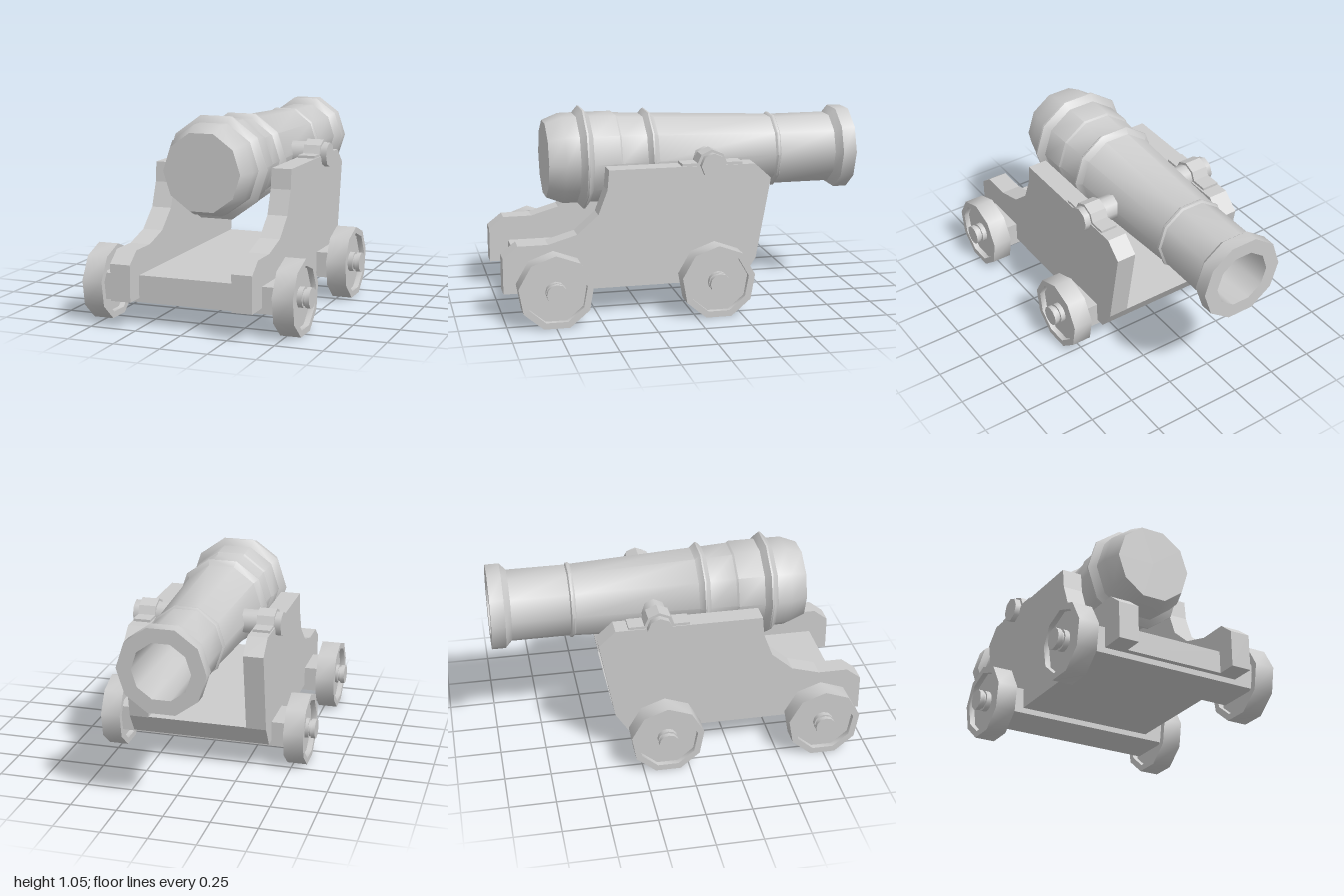
import * as THREE from 'three';
import { toCreasedNormals } from 'three/addons/utils/BufferGeometryUtils.js';

const material = new THREE.MeshStandardMaterial({ color: 0xcccccc });

// Revolved profile of [radius, position] pairs, smooth around and sharp at the rings
function revolve(profile, sides, phiStart, crease = 0.75) {
  const points = profile.map(([r, p]) => new THREE.Vector2(r, p));
  return toCreasedNormals(new THREE.LatheGeometry(points, sides, phiStart), crease);
}

// Side outline of [z, y] pairs extruded across x, centred on x = 0
function slab(outline, width) {
  const shape = new THREE.Shape(outline.map(([z, y]) => new THREE.Vector2(z, y)));
  const geometry = new THREE.ExtrudeGeometry(shape, { depth: width, bevelEnabled: false });
  return geometry.translate(0, 0, -width / 2).rotateY(-Math.PI / 2);
}

export function createModel() {
  const model = new THREE.Group();
  model.name = 'cannon';

  function add(name, geometry, x, y, z, turned = false) {
    const mesh = new THREE.Mesh(geometry, material);
    mesh.name = name;
    mesh.position.set(x, y, z);
    if (turned) mesh.rotation.y = Math.PI;
    model.add(mesh);
  }

  // Barrel with hollow bore, muzzle flare, ring mouldings and blunt breech
  const barrel = revolve([
    [0, -0.2], [0.155, -0.2], [0.155, -1], [0.234, -1], [0.234, -0.925], [0.197, -0.89],
    [0.197, -0.575], [0.208, -0.568], [0.208, -0.555], [0.199, -0.545],
    [0.23, 0.12], [0.258, 0.148], [0.258, 0.157], [0.232, 0.183],
    [0.24, 0.325], [0.249, 0.335], [0.249, 0.48], [0.285, 0.51], [0.285, 0.52],
    [0.249, 0.552], [0.248, 0.63], [0.213, 0.72], [0, 0.72],
  ], 10, Math.PI / 2).rotateX(Math.PI / 2);
  add('barrel', barrel, 0, 0.783, 0);

  // Carriage bed between the cheeks
  add('bed', slab([
    [0.895, 0.145], [0.895, 0.265], [-0.378, 0.265], [-0.3, 0.145],
  ].reverse(), 0.55), 0, 0, 0);

  const cheek = slab([
    [1, 0.145], [1, 0.338], [0.92, 0.4], [0.76, 0.4], [0.605, 0.445], [0.49, 0.545],
    [0.44, 0.675], [0.43, 0.782], [-0.365, 0.782], [-0.455, 0.7], [-0.375, 0.26], [-0.3, 0.145],
  ], 0.11);

  // Strap over the trunnion, with flat flanges
  const cap = slab([
    [0.165, 0], [0.165, 0.015], [0.08, 0.015], [0.06, 0.06], [0, 0.086],
    [-0.06, 0.06], [-0.08, 0.015], [-0.165, 0.015], [-0.165, 0],
  ], 0.095);

  const trunnion = revolve([[0, 0.1], [0.068, 0.1], [0.068, 0.415], [0, 0.415]], 8, 0, 0.8)
    .rotateZ(-Math.PI / 2);

  // Wheel dished on both faces
  const wheel = revolve([
    [0, -0.025], [0.165, -0.025], [0.165, -0.055], [0.2, -0.055],
    [0.2, 0.055], [0.165, 0.055], [0.165, 0.025], [0, 0.025],
  ], 9, -Math.PI / 2).rotateZ(-Math.PI / 2);

  // Axle stub with a groove behind its end cap
  const hub = revolve([
    [0, 0.5], [0.055, 0.5], [0.055, 0.572], [0.044, 0.572], [0.044, 0.585],
    [0.055, 0.585], [0.055, 0.61], [0, 0.61],
  ], 12, 0).rotateZ(-Math.PI / 2);

  for (const side of [1, -1]) {
    const turned = side < 0;
    add('cheek', cheek, side * 0.33, 0, 0);
    add('trunnion', trunnion, 0, 0.784, -0.13, turned);
    add('trunnionCap', cap, side * 0.332, 0.781, -0.13);
    for (const z of [0.747, -0.119]) {
      add('wheel', wheel, side * 0.52, 0.188, z);
      add('hub', hub, 0, 0.19, z, turned);
    }
  }

  // Axles
  for (const z of [0.742, -0.124]) {
    add('axle', new THREE.BoxGeometry(0.99, 0.14, 0.245), 0, 0.185, z);
  }
  return model;
}
